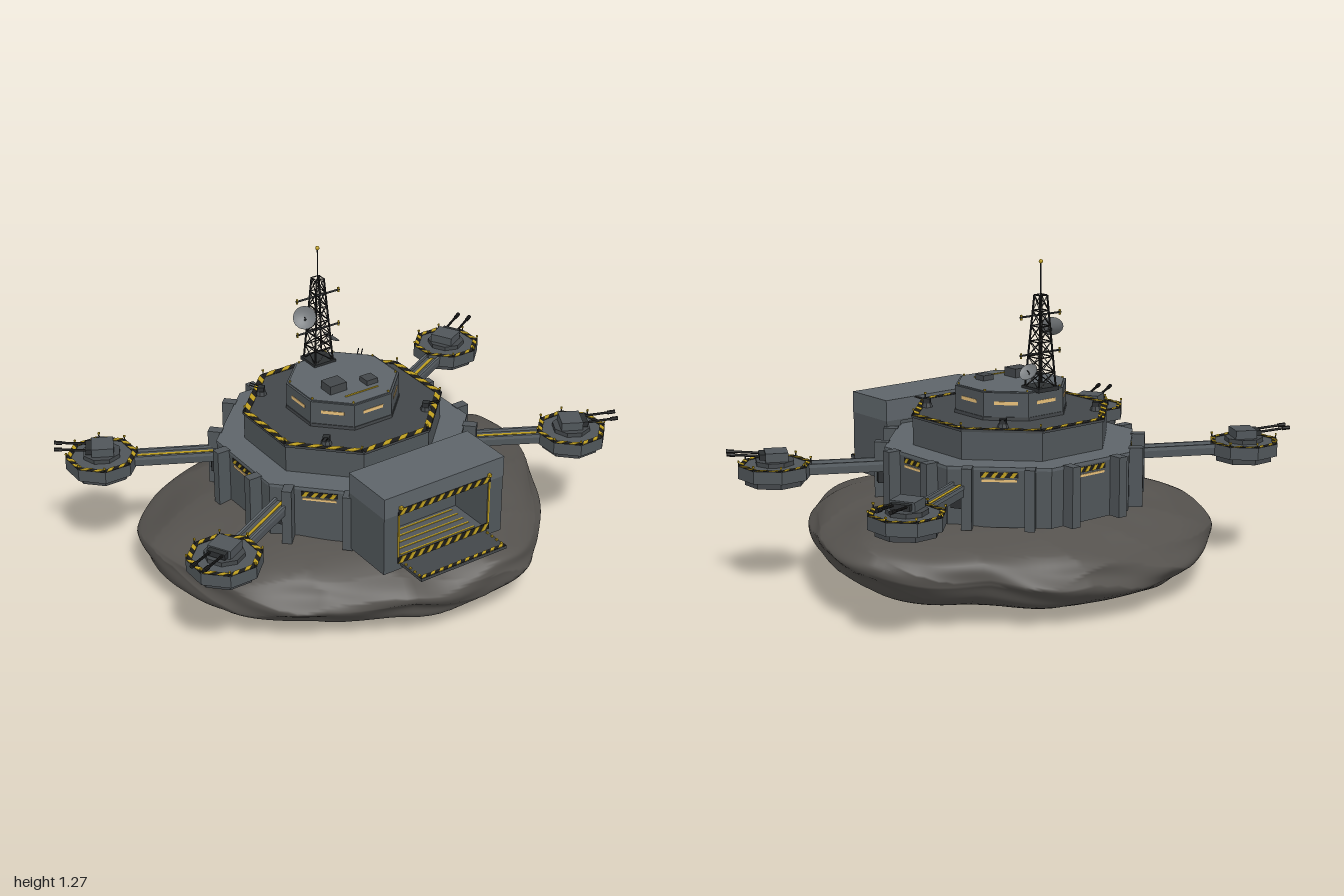
import * as THREE from 'three';
import { ParametricGeometry } from 'three/addons/geometries/ParametricGeometry.js';

const mat = (color, extra = {}) => new THREE.MeshStandardMaterial({ color, ...extra });
const flat = { flatShading: true };
const M = {
  rock: mat(0x55524e), wall: mat(0x50565a, flat), roof: mat(0x5e656a, flat), deck: mat(0x43474a, flat),
  dark: mat(0x2c2f31, flat), black: mat(0x1c1c1c, flat), yellow: mat(0xc0a020), light: mat(0xe8c07a),
  dish: mat(0x777b7e, { side: THREE.DoubleSide }),
};
const CZ = -0.06; // centre line of the bunker
const T8 = Math.tan(Math.PI / 8), C8 = Math.cos(Math.PI / 8);

function add(parent, name, geo, material, x = 0, y = 0, z = 0) {
  const m = new THREE.Mesh(geo, material);
  m.name = name;
  m.position.set(x, y, z);
  parent.add(m);
  return m;
}
function group(parent, name, x = 0, y = 0, z = 0, ry = 0) {
  const g = new THREE.Group();
  g.name = name;
  g.position.set(x, y, z);
  g.rotation.y = ry;
  parent.add(g);
  return g;
}
const box = (p, name, m, w, h, d, x, y, z) => add(p, name, new THREE.BoxGeometry(w, h, d), m, x, y, z);

// Octagonal prism with flat sides facing the axes, given by apothem and height range
function octagon(p, name, m, apothem, y0, y1) {
  const g = new THREE.CylinderGeometry(apothem / C8, apothem / C8, y1 - y0, 8).rotateY(Math.PI / 8);
  add(p, name, g, m, 0, (y0 + y1) / 2, 0);
}

// Thin rod between two points
function rod(p, name, m, a, b, r, sides = 5) {
  const A = new THREE.Vector3(...a), d = new THREE.Vector3(...b).sub(A);
  const o = add(p, name, new THREE.CylinderGeometry(r, r, d.length(), sides), m);
  o.position.copy(A).addScaledVector(d, 0.5);
  o.quaternion.setFromUnitVectors(new THREE.Vector3(0, 1, 0), d.normalize());
}

// Hazard strip facing +z: dark plate with slanted yellow bars
function hazard(p, len, w, n, x, y, z, rx = 0) {
  const g = group(p, 'hazardStrip', x, y, z);
  g.rotation.x = rx;
  box(g, 'hazardPlate', M.black, len, w, 0.003, 0, 0, 0);
  const step = len / n, s = step * 0.22;
  const bars = Array.from({ length: n }, (_, i) => {
    const c = -len / 2 + (i + 0.5) * step, h = w / 2;
    return new THREE.Shape([[c - 2 * s, -h], [c, -h], [c + 2 * s, h], [c, h]].map(q => new THREE.Vector2(...q)));
  });
  add(g, 'hazardBars', new THREE.ExtrudeGeometry(bars, { depth: 0.0015, bevelEnabled: false }), M.yellow, 0, 0, 0.0015);
}

// Hazard border around an octagonal deck, with a lamp post at each corner
function hazardRing(p, apothem, w, y, n, lamp) {
  for (let i = 0; i < 8; i++) {
    const side = group(p, 'deckEdge', 0, y, 0, i * Math.PI / 4);
    hazard(side, 2 * (apothem - w / 2) * T8, w, n, 0, 0, apothem - w / 2, -Math.PI / 2);
    const x = apothem * T8 * 0.94, z = apothem * 0.98;
    box(side, 'lampPost', M.dark, 0.004, lamp, 0.004, x, lamp / 2, z);
    box(side, 'lamp', M.yellow, 0.007, 0.007, 0.007, x, lamp, z);
  }
}

function rock(root) {
  const outline = [[0.835, -0.185], [0.8, 0.055], [0.68, 0.32], [0.54, 0.52], [0.375, 0.68], [0.24, 0.72], [-0.12, 0.66],
    [-0.45, 0.49], [-0.69, 0.3], [-0.8, 0], [-0.82, -0.21], [-0.71, -0.45], [-0.48, -0.63], [-0.24, -0.72],
    [0.03, -0.735], [0.27, -0.69], [0.5, -0.54], [0.69, -0.4]];
  const edge = new THREE.CatmullRomCurve3(outline.map(([x, z]) => new THREE.Vector3(x, 0, z)), true);
  const profile = new THREE.CatmullRomCurve3([[0.002, 0], [0.4, 0.01], [0.66, 0.035], [0.85, 0.075], [0.95, 0.125], [1, 0.19],
    [0.97, 0.238], [0.89, 0.28], [0.74, 0.322], [0.5, 0.352], [0.002, 0.36]].map(([s, y]) => new THREE.Vector3(s, y, 0)));
  const e = new THREE.Vector3(), q = new THREE.Vector3();
  const ridge = t => 1 - 2 * Math.abs(Math.sin(t));
  const surface = (u, v, out) => {
    edge.getPoint((1 - u + 1) % 1, e);
    profile.getPoint(Math.min(1, Math.max(0, v)), q);
    const a = Math.atan2(e.z, e.x), w = q.x ** 3;
    // broad dents, with sharp ridges and ledges running around the sides
    const n = Math.sin(3 * a + 40 * q.y) + 0.7 * Math.sin(7 * a - 55 * q.y + 1)
      + 0.7 * ridge(2 * a + 26 * q.y + 0.5 * Math.sin(5 * a)) + 0.5 * ridge(3 * a - 34 * q.y + Math.sin(4 * a + 1));
    const s = q.x * (1 + w * (0.011 * n - 0.004));
    const y = q.y + w * (0.07 * Math.max(e.x, 0) + 0.06 * Math.min(e.z, 0))
      + w * (0.007 * Math.sin(9 * a + 3 * q.x) + 0.006 * ridge(6 * a + 5 * q.x));
    out.set(e.x * s, Math.max(0, y), e.z * s);
  };
  add(root, 'rockBase', new ParametricGeometry(surface, 160, 72), M.rock);
}

function bunker(root) {
  const b = group(root, 'bunker', 0, 0, CZ);
  octagon(b, 'lowerWall', M.wall, 0.46, 0.335, 0.55);
  octagon(b, 'lowerRoof', M.roof, 0.462, 0.55, 0.562);
  octagon(b, 'middleTier', M.wall, 0.36, 0.56, 0.668);
  octagon(b, 'middleDeck', M.deck, 0.365, 0.668, 0.677);
  hazardRing(b, 0.365, 0.026, 0.677, 4, 0.02);
  octagon(b, 'controlTier', M.wall, 0.205, 0.677, 0.782);
  octagon(b, 'controlSill', M.deck, 0.208, 0.677, 0.69);
  octagon(b, 'controlRoof', M.roof, 0.197, 0.78, 0.786);
  for (let i = 0; i < 8; i++) {
    const f = group(b, 'bunkerSide', 0, 0, 0, i * Math.PI / 4);
    box(f, 'controlWindow', M.light, 0.09, 0.013, 0.004, 0, 0.742, 0.205);
    box(f, 'roofLamp', M.yellow, 0.006, 0.008, 0.006, 0.078, 0.788, 0.192);
    if (i === 0) continue; // hangar side
    hazard(f, 0.14, 0.02, 4, 0, 0.533, 0.461);
    box(f, 'wallLight', M.light, 0.13, 0.009, 0.004, 0, 0.511, 0.461);
    for (const s of [-1, 1]) box(f, 'buttress', M.wall, 0.038, 0.23, 0.055, s * 0.115, 0.45, 0.484);
  }
  // Small deck guns on the diagonals
  for (let i = 0; i < 4; i++) {
    const g = group(b, 'deckGun', 0, 0.677, 0, Math.PI / 4 + i * Math.PI / 2);
    add(g, 'gunMount', new THREE.CylinderGeometry(0.018, 0.022, 0.016, 8), M.deck, 0, 0.008, 0.325);
    box(g, 'gunBody', M.dark, 0.026, 0.018, 0.026, 0, 0.025, 0.325);
    for (const s of [-1, 1]) rod(g, 'gunBarrel', M.black, [s * 0.008, 0.028, 0.33], [s * 0.008, 0.04, 0.372], 0.0025);
  }
  // Roof equipment
  box(root, 'roofUnit', M.deck, 0.075, 0.035, 0.065, -0.082, 0.803, 0);
  box(root, 'roofUnit', M.deck, 0.05, 0.02, 0.05, 0.062, 0.796, 0.025);
  box(root, 'roofMarking', M.yellow, 0.15, 0.004, 0.007, -0.005, 0.787, 0.075);
}

function hangar(root) {
  const h = group(root, 'hangar');
  const rect = (x, y0, y1, P) => new P([[-x, y0], [x, y0], [x, y1], [-x, y1]].map(p => new THREE.Vector2(...p)));
  const shape = rect(0.27, 0.345, 0.586, THREE.Shape);
  shape.holes.push(rect(0.2, 0.378, 0.58, THREE.Path));
  add(h, 'hangarWalls', new THREE.ExtrudeGeometry(shape, { depth: 0.225, bevelEnabled: false }), M.wall, 0, 0, 0.38);
  box(h, 'hangarRoof', M.roof, 0.542, 0.084, 0.227, 0, 0.628, 0.4935);
  box(h, 'hangarBackWall', M.wall, 0.4, 0.21, 0.01, 0, 0.48, 0.408);
  for (let i = 0; i < 5; i++) box(h, 'floorLine', M.yellow, 0.34, 0.003, 0.006, 0, 0.379, 0.43 + i * 0.035);
  box(h, 'ceilingLight', M.light, 0.3, 0.005, 0.012, 0, 0.577, 0.5);
  hazard(h, 0.42, 0.025, 10, 0, 0.595, 0.608);
  hazard(h, 0.42, 0.027, 10, 0, 0.388, 0.608);
  for (const s of [-1, 1]) {
    box(h, 'doorEdge', M.yellow, 0.007, 0.18, 0.005, s * 0.206, 0.491, 0.606);
    box(h, 'doorLamp', M.yellow, 0.012, 0.012, 0.014, s * 0.2, 0.614, 0.612);
    for (let i = 0; i < 4; i++) box(h, 'rampLamp', M.yellow, 0.008, 0.006, 0.008, s * 0.188, 0.375, 0.63 + i * 0.028);
  }
  box(h, 'ramp', M.deck, 0.39, 0.012, 0.135, 0, 0.366, 0.668);
  hazard(h, 0.39, 0.016, 10, 0, 0.373, 0.727, -Math.PI / 2);
}

// Gun platform on a bridge from the bunker
function outpost(root, px, pz) {
  const inner = Math.hypot(px, pz - CZ) - 0.44;
  const o = group(root, 'gunOutpost', px, 0, pz);
  octagon(o, 'platform', M.wall, 0.13, 0.455, 0.503);
  octagon(o, 'platformUnderside', M.deck, 0.107, 0.43, 0.455);
  hazardRing(o, 0.13, 0.02, 0.504, 2, 0.016);
  const t = group(o, 'turretAndBridge', 0, 0, 0, Math.atan2(px, pz - CZ));
  const len = inner - 0.11, mid = -(inner + 0.11) / 2;
  box(t, 'bridge', M.wall, 0.062, 0.03, len, 0, 0.475, mid);
  box(t, 'bridgeStripe', M.yellow, 0.012, 0.004, len, 0, 0.491, mid);
  for (const s of [-1, 1]) box(t, 'bridgeKerb', M.roof, 0.01, 0.014, len, s * 0.028, 0.495, mid);
  box(t, 'bridgeBracket', M.dark, 0.045, 0.05, 0.07, 0, 0.438, -inner + 0.045);
  // Turret
  octagon(t, 'turretRing', M.deck, 0.07, 0.503, 0.52);
  box(t, 'turretHead', M.wall, 0.095, 0.036, 0.085, 0, 0.536, -0.005);
  box(t, 'gunMantlet', M.dark, 0.075, 0.022, 0.03, 0, 0.538, 0.045);
  for (const s of [-1, 1]) {
    rod(t, 'turretBarrel', M.black, [s * 0.026, 0.54, 0.04], [s * 0.026, 0.553, 0.17], 0.005, 8);
    rod(t, 'muzzle', M.black, [s * 0.026, 0.551, 0.15], [s * 0.026, 0.554, 0.18], 0.008, 8);
  }
}

function mast(root) {
  const m = group(root, 'radioMast', 0, 0, -0.232);
  box(m, 'mastFoot', M.dark, 0.1, 0.016, 0.1, 0, 0.788, 0);
  const corner = (k, i) => {
    const w = 0.041 - 0.024 * k / 6, a = Math.PI / 4 + i * Math.PI / 2;
    return [w * Math.SQRT2 * Math.cos(a), 0.79 + 0.35 * k / 6, w * Math.SQRT2 * Math.sin(a)];
  };
  for (let i = 0; i < 4; i++) {
    rod(m, 'mastLeg', M.black, corner(0, i), corner(6, i), 0.004);
    for (let k = 0; k < 6; k++) {
      rod(m, 'crossBrace', M.black, corner(k, i), corner(k + 1, i + 1), 0.0022, 4);
      rod(m, 'crossBrace', M.black, corner(k, i + 1), corner(k + 1, i), 0.0022, 4);
      rod(m, 'mastRung', M.black, corner(k + 1, i), corner(k + 1, i + 1), 0.0025, 4);
    }
  }
  rod(m, 'aerial', M.dark, [0, 1.13, 0], [0, 1.265, 0], 0.0025);
  add(m, 'beacon', new THREE.SphereGeometry(0.008, 10, 8), M.yellow, 0, 1.266, 0);
  for (const y of [1.065, 0.92]) {
    rod(m, 'crossArm', M.dark, [-0.1, y, 0], [0.1, y, 0], 0.004);
    for (const s of [-1, 1]) box(m, 'armTip', M.yellow, 0.006, 0.02, 0.006, s * 0.095, y, 0);
  }
  // Dishes: shallow bowls turned to face outwards
  for (const [x, y, z, r, n] of [[-0.08, 1.005, 0.03, 0.045, [-0.5, 0.45, 0.6]], [0.07, 0.857, -0.015, 0.037, [0.7, 0.7, -0.15]]]) {
    const d = group(m, 'dish', x, y, z);
    const pts = [0, 0.3, 0.6, 0.85, 1].map(t => new THREE.Vector2(t * r, (t * t - 0.6) * r * 0.3));
    add(d, 'dishBowl', new THREE.LatheGeometry(pts, 20), M.dish);
    rod(d, 'dishFeed', M.dark, [0, -0.2 * r, 0], [0, r * 0.4, 0], 0.002);
    d.quaternion.setFromUnitVectors(new THREE.Vector3(0, 1, 0), new THREE.Vector3(...n).normalize());
    rod(m, 'dishArm', M.dark, [0, y - 0.01, 0], [x, y - 0.01, z], 0.004);
  }
}

export function createModel() {
  const root = new THREE.Group();
  root.name = 'rockOutpost';
  rock(root);
  bunker(root);
  hangar(root);
  for (const p of [[0.825, -0.495], [0.8, 0.37], [-0.835, -0.495], [-0.8, 0.37]]) outpost(root, ...p);
  mast(root);
  return root;
}
